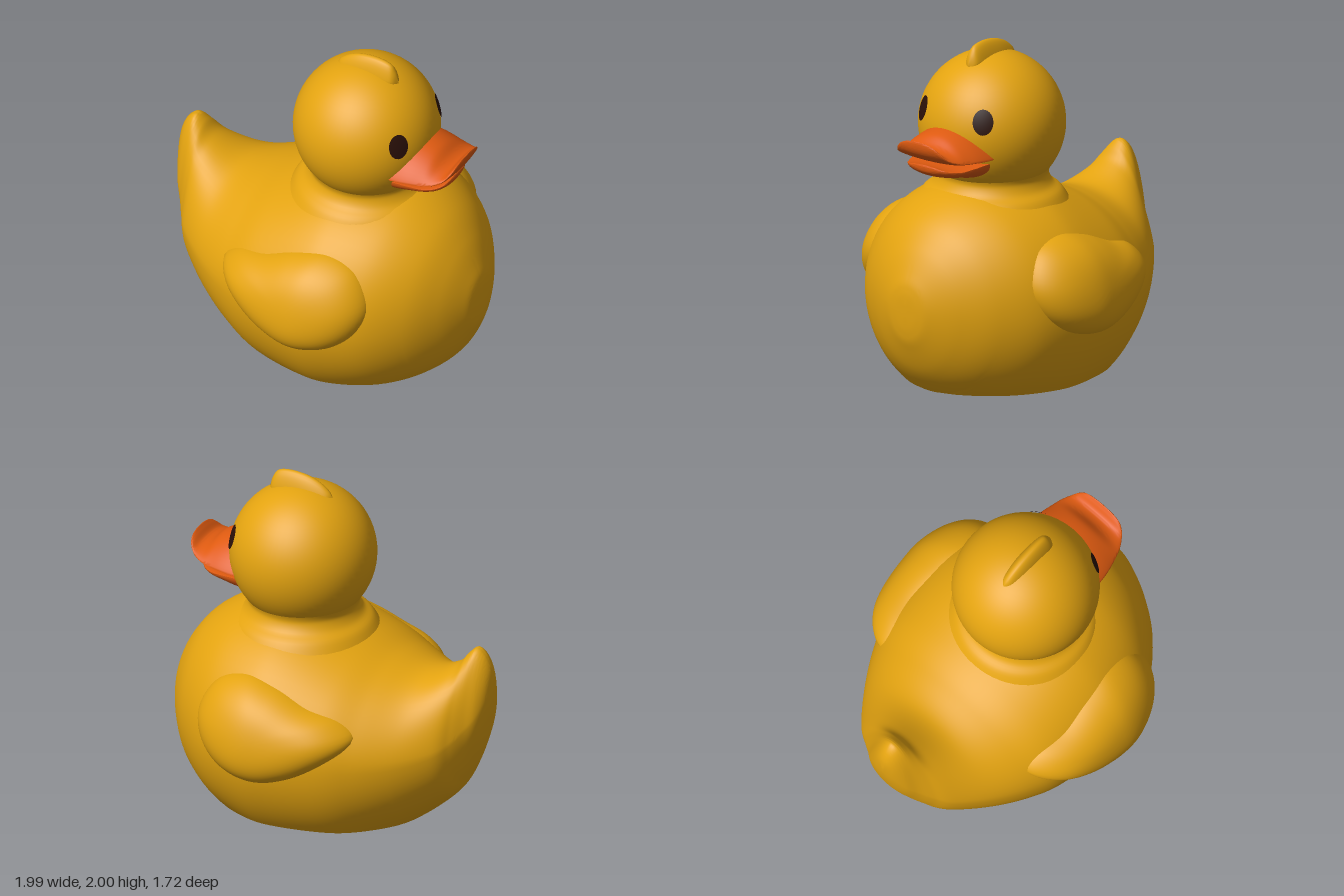
import * as THREE from 'three';
import { mergeVertices, toCreasedNormals } from 'three/addons/utils/BufferGeometryUtils.js';

const yellow = new THREE.MeshStandardMaterial({ name: 'duckYellow', color: 0xe3a310 });
const orange = new THREE.MeshStandardMaterial({ name: 'billOrange', color: 0xde5a10 });
const dark = new THREE.MeshStandardMaterial({ name: 'eyeBrown', color: 0x2a1008 });

// Skin a stack of closed rings of [x, y, z] points
function skin(rings, flip = false, crease = 0) {
  const n = rings[0].length, index = [];
  for (let i = 0; i < rings.length - 1; i++) {
    for (let j = 0; j < n; j++) {
      const a = i * n + j, d = i * n + (j + 1) % n, b = a + n, c = d + n;
      index.push(...(flip ? [a, c, b, a, d, c] : [a, b, c, a, c, d]));
    }
  }
  let geo = new THREE.BufferGeometry();
  geo.setAttribute('position', new THREE.Float32BufferAttribute(rings.flat(2), 3));
  geo.setIndex(index);
  geo = mergeVertices(geo, 1e-5);
  geo.computeVertexNormals();
  return crease ? toCreasedNormals(geo, crease) : geo;
}

// Smoothly subdivide rows of section values
function smoothRows(rows, steps) {
  const out = [];
  const at = (i) => rows[Math.min(Math.max(i, 0), rows.length - 1)];
  for (let i = 0; i < rows.length - 1; i++) {
    for (let s = 0; s < steps; s++) {
      const t = s / steps;
      out.push(rows[i].map((p1, k) => {
        const p0 = at(i - 1)[k], p2 = at(i + 1)[k], p3 = at(i + 2)[k];
        return p1 + 0.5 * t * (p2 - p0 + t * (2 * p0 - 5 * p1 + 4 * p2 - p3 + t * (3 * (p1 - p2) + p3 - p0)));
      }));
    }
  }
  out.push(at(rows.length));
  return out;
}

// Section: [x, bottom, middle, top, half width, top exponent], cut flat at y = 0
function sectionRing([x, bottom, mid, top, width, e], n) {
  const ring = [];
  const cut = Math.asin(Math.min(1, mid / Math.max(mid - bottom, 1e-6)));
  for (let j = 0; j < n; j++) {
    const t = ((j + 0.5) / n) * Math.PI * 2, s = Math.sin(t);
    if (s > 0) {
      ring.push([x, mid + (top - mid) * Math.pow(s, e), width * Math.cos(t)]);
    } else {
      const u = Math.asin(-s) * cut / (Math.PI / 2);
      ring.push([x, mid - (mid - bottom) * Math.sin(u), width * Math.cos(u) * Math.sign(Math.cos(t))]);
    }
  }
  return ring;
}
const loft = (rows, n, crease) => skin(rows.map((r) => sectionRing(r, n)), false, crease);

const bodyRows = smoothRows([
  [-1.0, 0.88, 0.9, 0.94, 0, 1],
  [-0.985, 0.74, 0.85, 1.03, 0.07, 1.2],
  [-0.95, 0.57, 0.75, 1.105, 0.14, 1.5],
  [-0.9, 0.42, 0.68, 1.14, 0.2, 1.7],
  [-0.85, 0.31, 0.62, 1.1, 0.27, 1.7],
  [-0.78, 0.19, 0.57, 1.02, 0.36, 1.5],
  [-0.6, 0.03, 0.52, 0.94, 0.5, 1.25],
  [-0.4, -0.1, 0.5, 0.98, 0.62, 1.1],
  [-0.2, -0.2, 0.5, 1.06, 0.7, 1],
  [0.1, -0.25, 0.5, 1.17, 0.745, 1],
  [0.3, -0.23, 0.5, 1.19, 0.74, 1],
  [0.55, -0.13, 0.5, 1.15, 0.66, 1],
  [0.75, 0, 0.52, 1.04, 0.505, 1],
  [0.88, 0.14, 0.53, 0.89, 0.33, 1],
  [0.96, 0.31, 0.53, 0.73, 0.17, 1],
  [0.983, 0.4, 0.53, 0.65, 0.09, 1],
  [0.99, 0.5, 0.53, 0.57, 0, 1],
], 8);

// Half width of the body at a side position
function bodyHalfWidth(x, y) {
  let i = 0;
  while (i < bodyRows.length - 2 && bodyRows[i + 1][0] < x) i++;
  const a = bodyRows[i], b = bodyRows[i + 1], f = (x - a[0]) / (b[0] - a[0]);
  const [, bottom, mid, top, width, e] = a.map((v, k) => v + (b[k] - v) * f);
  const s = y > mid ? Math.pow((y - mid) / (top - mid), 1 / e) : (mid - y) / (mid - bottom);
  return width * Math.sqrt(Math.max(0, 1 - s * s));
}

// Teardrop wing bulging from the body side
function wingGeometry(side) {
  const outline = new THREE.CatmullRomCurve3([
    [-0.39, 0.69], [-0.3, 0.77], [-0.1, 0.83], [0.1, 0.91], [0.3, 0.945], [0.48, 0.88], [0.58, 0.7],
    [0.54, 0.55], [0.4, 0.42], [0.15, 0.365], [-0.05, 0.42], [-0.25, 0.54], [-0.37, 0.64],
  ].map(([x, y]) => new THREE.Vector3(x, y, 0)), true).getSpacedPoints(80).slice(0, 80);
  const rings = [];
  for (let i = 0; i <= 18; i++) {
    const r = Math.sin((i / 18) * Math.PI / 2);
    rings.push(outline.map((p) => {
      const x = 0.15 + (p.x - 0.15) * r, y = 0.65 + (p.y - 0.65) * r;
      return [x, y, side * (bodyHalfWidth(x, y) - 0.02 + 0.135 * Math.sqrt(Math.max(0, 1 - r ** 4)))];
    }));
  }
  return skin(rings, side > 0);
}

export function createModel() {
  const group = new THREE.Group();
  const add = (name, geo, mat) => {
    const mesh = new THREE.Mesh(geo, mat);
    mesh.name = name;
    group.add(mesh);
    return mesh;
  };

  add('body', loft(bodyRows, 72, 0.75), yellow);

  // Neck fillet and head
  const neck = new THREE.SplineCurve([
    [0.44, 1.04], [0.4, 1.1], [0.35, 1.14], [0.325, 1.185], [0.325, 1.22], [0.345, 1.27], [0.36, 1.3],
  ].map(([r, y]) => new THREE.Vector2(r, y)));
  add('neck', new THREE.LatheGeometry(neck.getPoints(24), 64), yellow).position.x = 0.22;
  const centre = new THREE.Vector3(0.225, 1.5, 0);
  add('head', new THREE.SphereGeometry(0.425, 64, 40), yellow).position.copy(centre);

  // Crest ridge on the crown
  add('crest', loft(smoothRows([
    [0.03, 1.84, 1.85, 1.87, 0, 1.5],
    [0.06, 1.82, 1.86, 1.915, 0.035, 1.5],
    [0.12, 1.84, 1.88, 1.96, 0.05, 1.8],
    [0.2, 1.86, 1.9, 1.99, 0.055, 1.8],
    [0.3, 1.86, 1.9, 2.0, 0.055, 1.8],
    [0.38, 1.85, 1.89, 1.985, 0.05, 1.8],
    [0.415, 1.84, 1.88, 1.94, 0.035, 1.5],
    [0.435, 1.84, 1.86, 1.88, 0, 1.5],
  ], 6), 32, 0), yellow);

  // Bill halves
  add('upperBill', loft(smoothRows([
    [0.45, 1.375, 1.39, 1.56, 0.275, 1.7],
    [0.56, 1.375, 1.39, 1.56, 0.275, 1.7],
    [0.64, 1.375, 1.395, 1.55, 0.265, 1.7],
    [0.72, 1.378, 1.4, 1.525, 0.245, 1.7],
    [0.78, 1.387, 1.41, 1.48, 0.225, 1.5],
    [0.83, 1.41, 1.43, 1.47, 0.195, 1.2],
    [0.865, 1.44, 1.465, 1.505, 0.16, 1],
    [0.882, 1.47, 1.495, 1.523, 0.11, 1],
    [0.888, 1.5, 1.505, 1.51, 0, 1],
  ], 6), 48, 0.8), orange);
  add('lowerBill', loft(smoothRows([
    [0.45, 1.22, 1.36, 1.365, 0.25, 1],
    [0.56, 1.245, 1.36, 1.365, 0.25, 1],
    [0.64, 1.265, 1.35, 1.355, 0.23, 1],
    [0.72, 1.282, 1.34, 1.35, 0.2, 1],
    [0.78, 1.3, 1.345, 1.355, 0.16, 1],
    [0.815, 1.325, 1.355, 1.37, 0.1, 1],
    [0.825, 1.355, 1.36, 1.365, 0, 1],
  ], 6), 48, 0.8), orange);

  // Mirrored wings and eyes
  for (const [label, side] of [['right', 1], ['left', -1]]) {
    add(`${label}Wing`, wingGeometry(side), yellow);
    const cap = new THREE.SphereGeometry(0.431, 32, 6, 0, Math.PI * 2, 0, 0.175);
    cap.rotateX(Math.PI / 2).scale(0.8, 1, 1);
    const eye = add(`${label}Eye`, cap, dark);
    eye.position.copy(centre);
    eye.lookAt(centre.x + 0.34, centre.y + 0.11, side * 0.225);
  }
  return group;
}
